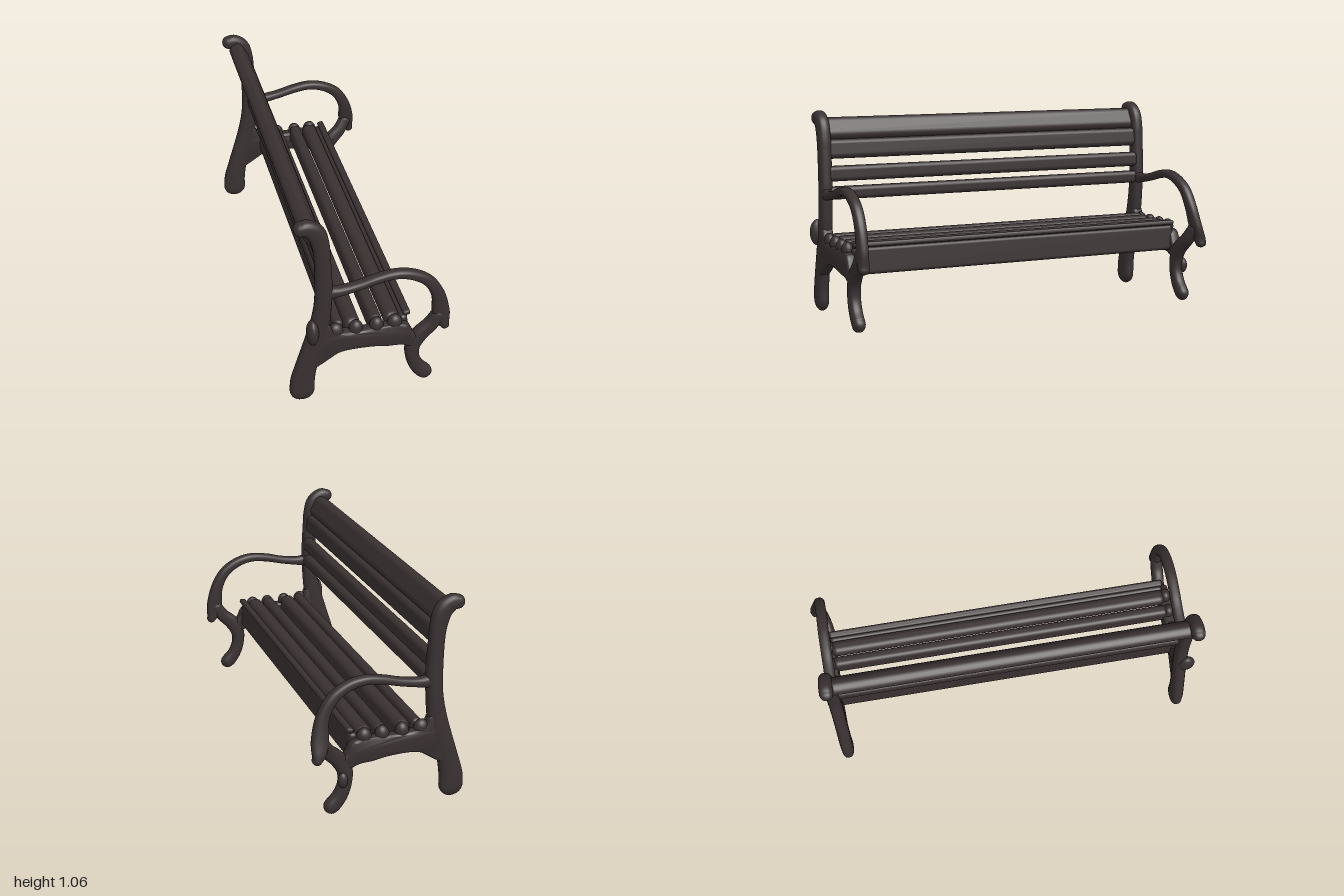
import * as THREE from 'three';
import { toCreasedNormals } from 'three/addons/utils/BufferGeometryUtils.js';
import { RoundedBoxGeometry } from 'three/addons/geometries/RoundedBoxGeometry.js';

const darkIron = new THREE.MeshStandardMaterial({ color: 0x3a3131 });
darkIron.name = 'darkBrownIron';

function part(name, geometry) {
  const mesh = new THREE.Mesh(geometry, darkIron);
  mesh.name = name;
  return mesh;
}

// Round-ended bar swept along [x, y, halfWidth, z] points, with a softened oval section
function bar(name, points, halfDepth) {
  const path = new THREE.CatmullRomCurve3(
    points.map(([x, y, , z = 0]) => new THREE.Vector3(x, y, z)), false, 'centripetal');
  const widths = new THREE.CatmullRomCurve3(
    points.map(p => new THREE.Vector3(p[2], 0, 0)), false, 'catmullrom');
  const steps = points.length * 6, capSteps = 6, sides = 20;
  const stations = [];
  for (let i = -capSteps; i <= steps + capSteps; i++) {
    const t = THREE.MathUtils.clamp(i / steps, 0, 1);
    const over = i < 0 ? i : Math.max(0, i - steps);
    stations.push([t, over / capSteps * 1.55]);
  }
  const pos = [], index = [];
  const soft = v => Math.sign(v) * Math.abs(v) ** 0.8;
  stations.forEach(([t, capAngle], i) => {
    const p = path.getPoint(t), tan = path.getTangent(t).setZ(0).normalize();
    const w = widths.getPoint(t).x, shrink = Math.cos(capAngle);
    p.addScaledVector(tan, w * Math.sin(capAngle));
    for (let j = 0; j < sides; j++) {
      const a = j / sides * Math.PI * 2;
      const n = w * shrink * soft(Math.cos(a));
      pos.push(p.x - tan.y * n, p.y + tan.x * n, p.z + halfDepth * shrink * soft(Math.sin(a)));
      if (i === 0) continue;
      const k = (j + 1) % sides, r0 = (i - 1) * sides, r1 = i * sides;
      index.push(r0 + j, r0 + k, r1 + j, r0 + k, r1 + k, r1 + j);
    }
  });
  const geo = new THREE.BufferGeometry();
  geo.setAttribute('position', new THREE.Float32BufferAttribute(pos, 3));
  geo.setIndex(index);
  geo.computeVertexNormals();
  return part(name, geo);
}

// Ellipsoid lump
function knob(name, x, y, z, rx, ry, rz) {
  const mesh = part(name, new THREE.SphereGeometry(1, 20, 14));
  mesh.position.set(x, y, z);
  mesh.scale.set(rx, ry, rz);
  return mesh;
}

// Web plate joining the legs under the seat
function seatRail() {
  const outline = [
    [-0.29, 0.2], [-0.245, 0.22], [-0.2, 0.25], [-0.15, 0.278], [0, 0.282], [0.08, 0.27],
    [0.15, 0.265], [0.2, 0.25], [0.235, 0.29], [0.212, 0.33], [0.18, 0.385], [0.12, 0.395],
    [-0.1, 0.392], [-0.18, 0.405], [-0.21, 0.46], [-0.26, 0.46], [-0.3, 0.33]
  ];
  const curve = new THREE.CatmullRomCurve3(
    outline.map(([x, y]) => new THREE.Vector3(x, y, 0)), true, 'centripetal');
  const shape = new THREE.Shape(
    curve.getPoints(90).slice(0, -1).map(p => new THREE.Vector2(p.x, p.y)));
  const geo = new THREE.ExtrudeGeometry(shape, {
    depth: 0.026, bevelThickness: 0.016, bevelSize: 0.012, bevelOffset: -0.012, bevelSegments: 4
  });
  geo.translate(0, 0, -0.013);
  return part('seatRail', toCreasedNormals(geo, 0.9));
}

// Cast end frame; flare bends the armrest tip sideways
function endFrame(name, z, flare) {
  const frame = new THREE.Group();
  frame.name = name;
  frame.position.z = z;
  frame.add(
    bar('backPostAndRearLeg', [
      [-0.337, 1.02, 0.034], [-0.31, 1.02, 0.04], [-0.268, 0.988, 0.045], [-0.245, 0.92, 0.042],
      [-0.237, 0.85, 0.039], [-0.232, 0.75, 0.04], [-0.23, 0.66, 0.042], [-0.235, 0.56, 0.042],
      [-0.25, 0.45, 0.048], [-0.28, 0.33, 0.052], [-0.316, 0.21, 0.053], [-0.335, 0.12, 0.06],
      [-0.338, 0.065, 0.062]
    ], 0.034),
    bar('armrest', [
      [-0.21, 0.635, 0.032], [-0.15, 0.638, 0.024], [-0.06, 0.654, 0.021], [0.03, 0.677, 0.022],
      [0.12, 0.688, 0.023], [0.2, 0.671, 0.025], [0.28, 0.62, 0.028, 0.1 * flare],
      [0.332, 0.53, 0.033, 0.25 * flare], [0.35, 0.43, 0.043, 0.6 * flare],
      [0.361, 0.37, 0.036, 0.9 * flare], [0.373, 0.34, 0.023, flare]
    ], 0.028),
    bar('frontLeg', [
      [0.34, 0.41, 0.033, 0.5 * flare], [0.305, 0.355, 0.036, 0.2 * flare], [0.25, 0.3, 0.04],
      [0.217, 0.24, 0.038], [0.216, 0.17, 0.034], [0.24, 0.105, 0.036], [0.272, 0.065, 0.039],
      [0.283, 0.055, 0.037]
    ], 0.032),
    seatRail());
  // Scalloped rests between the slats
  [[-0.172, 0.038], [-0.072, 0.034], [0.03, 0.034], [0.12, 0.036]].forEach(([x, r], i) =>
    frame.add(knob('slatRest' + (i + 1), x, 0.4, 0, r, 0.042, 0.03)));
  return frame;
}

// Lengthwise slat between the end frames
function slat(name, x, y, width, height, tilt = 0) {
  const zMin = -0.9, zMax = 0.92;
  const mesh = part(name, new RoundedBoxGeometry(
    width, height, zMax - zMin, 4, Math.min(width, height) * 0.42));
  mesh.position.set(x, y, (zMin + zMax) / 2);
  mesh.rotation.z = tilt;
  return mesh;
}

export function createModel() {
  const bench = new THREE.Group();
  bench.name = 'parkBench';

  // End frames with their casting lumps
  const left = endFrame('leftEndFrame', 0.927, 0);
  left.add(knob('rearKnob', -0.29, 0.43, 0.025, 0.03, 0.07, 0.045));
  const right = endFrame('rightEndFrame', -0.908, -0.055);
  right.add(knob('legKnob', 0.235, 0.2, -0.03, 0.025, 0.04, 0.022));
  bench.add(left, right);

  // Back slats, top to bottom
  const back = new THREE.Group();
  back.name = 'backrest';
  [
    [-0.285, 0.963, 0.08, 0.125, 0.5],
    [-0.24, 0.865, 0.06, 0.1, 0.12],
    [-0.22, 0.74, 0.055, 0.08, 0.04],
    [-0.218, 0.64, 0.055, 0.068, 0]
  ].forEach((s, i) => back.add(slat('backSlat' + (i + 1), ...s)));
  bench.add(back);

  // Seat slats, rear to front, deeper towards the rear
  const seat = new THREE.Group();
  seat.name = 'seat';
  [
    [-0.155, 0.37, 0.052, 0.14],
    [-0.084, 0.385, 0.078, 0.105],
    [0.03, 0.385, 0.062, 0.105],
    [0.112, 0.4, 0.078, 0.075],
    [0.184, 0.43, 0.036, 0.026, 0.25]
  ].forEach((s, i) => seat.add(slat('seatSlat' + (i + 1), ...s)));
  seat.add(slat('frontApron', 0.172, 0.348, 0.042, 0.135, 0.06));
  bench.add(seat);

  return bench;
}
